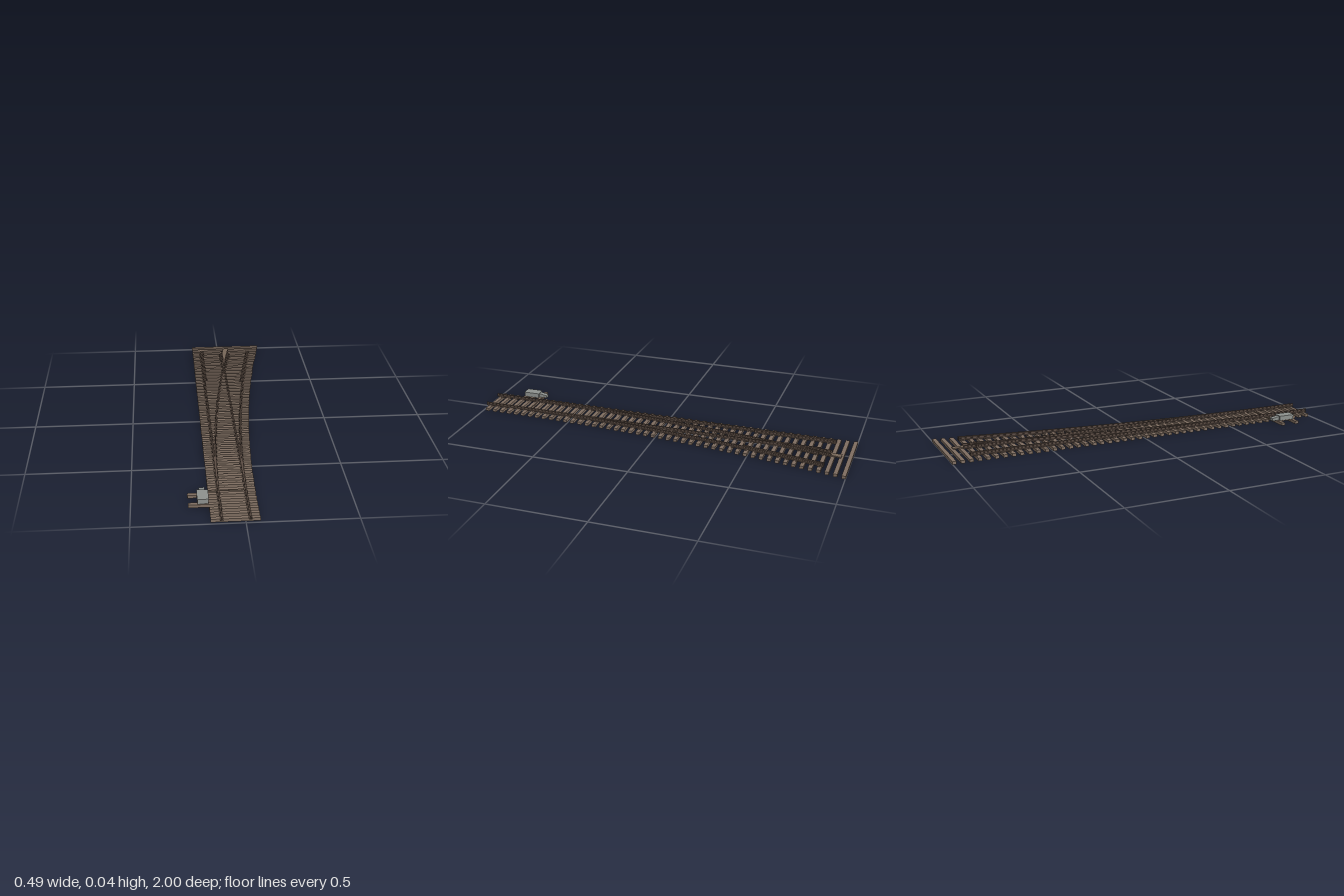
import * as THREE from 'three';

const mat = (name, color) => {
  const m = new THREE.MeshStandardMaterial({ color });
  m.name = name;
  return m;
};

export function createModel() {
  const group = new THREE.Group();
  const wood = mat('sleeper brown', 0x7e6d60);
  const steel = mat('rusty rail', 0x5a4b42);
  const plate = mat('frog brown', 0x776658);
  const grey = mat('motor grey', 0x8d918e);

  const add = (name, geometry, material, x = 0, y = 0, z = 0) => {
    const mesh = new THREE.Mesh(geometry, material);
    mesh.name = name;
    mesh.position.set(x, y, z);
    group.add(mesh);
    return mesh;
  };
  const box = (name, material, x0, x1, y0, y1, z0, z1) =>
    add(name, new THREE.BoxGeometry(x1 - x0, y1 - y0, z1 - z0), material,
      (x0 + x1) / 2, (y0 + y1) / 2, (z0 + z1) / 2);

  // Track lines: two straight rails and their diverging curve
  const LEFT = -0.1055, RIGHT = 0.02, TOP = 0.015;
  const bend = z => (z < 0.85 ? 0.0533 * (0.85 - z) ** 2 : 0);
  const straightLeft = () => LEFT;
  const straightRight = () => RIGHT;
  const curveLeft = z => LEFT + bend(z);
  const curveRight = z => RIGHT + bend(z);

  // Sleepers grow longer along the diverging side
  for (let i = 0; i < 48; i++) {
    const z = 0.976 - i * 0.04187;
    const x0 = i === 3 || i === 5 ? -0.246 : -0.153;
    box('sleeper', wood, x0, 0.065 + bend(z), 0, TOP, z - 0.0102, z + 0.0102);
    // Chairs under the two outer rails
    for (const x of [LEFT, curveRight(z)]) {
      if (z > -0.88) box('chair', steel, x - 0.009, x + 0.009, TOP, TOP + 0.0015, z - 0.006, z + 0.006);
    }
  }

  // Rail section: foot, web and head
  const half = [[0.0065, 0], [0.0065, 0.0015], [0.0017, 0.004], [0.0017, 0.0105], [0.0036, 0.012], [0.0036, 0.0165]];
  const section = new THREE.Shape([
    ...half.map(([x, y]) => new THREE.Vector2(x, y)),
    ...half.slice().reverse().map(([x, y]) => new THREE.Vector2(-x, y)),
  ]);
  // Sweep the section along z, shifting it sideways by a rule
  const rail = (name, z0, z1, xAt, steps = 24, drop = 0) => {
    const g = new THREE.ExtrudeGeometry(section, { depth: z1 - z0, steps, bevelEnabled: false });
    const p = g.attributes.position;
    for (let i = 0; i < p.count; i++) {
      const z = p.getZ(i) + z0;
      p.setXYZ(i, p.getX(i) + xAt(z), p.getY(i) + TOP - drop, z);
    }
    g.computeVertexNormals();
    add(name, g, steel);
  };

  // Stock rails
  rail('straightStockRail', -0.9, 1, straightLeft, 1);
  rail('curvedStockRail', -0.885, 1, curveRight, 48);

  // Switch blades and closure rails up to the frog
  rail('curvedClosureRail', -0.62, 0.78, curveLeft, 36, 0.0004);
  rail('straightClosureRail', -0.62, 1, straightRight, 1, 0.0004);

  // Wing rails bend away beside the frog point
  const knuckle = -0.62;
  rail('straightWingRail', -0.84, knuckle, z => {
    const t = Math.min(1, (knuckle - z) / 0.04);
    return THREE.MathUtils.lerp(curveLeft(knuckle), RIGHT - 0.0105, t) - Math.max(0, -0.8 - z) * 0.1;
  }, 11);
  rail('curvedWingRail', -0.84, knuckle, z => {
    const t = Math.min(1, (knuckle - z) / 0.06);
    return THREE.MathUtils.lerp(RIGHT, curveLeft(z) + 0.0105, t) + Math.max(0, -0.8 - z) * 0.1;
  }, 11);

  // Frog point rails and the plate beneath them
  rail('straightFrogRail', -0.9, -0.69, straightRight, 1);
  rail('curvedFrogRail', -0.9, -0.69, curveLeft, 8, 0.0004);
  const frog = new THREE.Shape([[0.014, 0.7], [0.026, 0.7], [0.063, 0.95], [0.029, 0.95]]
    .map(([x, z]) => new THREE.Vector2(x, z)));
  const frogGeometry = new THREE.ExtrudeGeometry(frog, { depth: 0.006, bevelEnabled: false });
  frogGeometry.rotateX(-Math.PI / 2);
  add('frogPlate', frogGeometry, plate, 0, TOP, 0);

  // Check rails with flared ends
  const flare = (z, z0, z1) => 0.07 * (Math.max(0, z0 + 0.05 - z) + Math.max(0, z - z1 + 0.05));
  rail('straightCheckRail', -0.9, -0.48, z => LEFT + 0.0105 + flare(z, -0.9, -0.48), 42);
  rail('curvedCheckRail', -0.885, -0.465, z => curveRight(z) - 0.0105 - flare(z, -0.885, -0.465), 42);

  // Switch motor on its base plate
  box('motorBase', wood, -0.204, -0.154, 0.012, 0.016, 0.76, 0.856);
  box('motorBody', grey, -0.203, -0.155, 0.016, 0.038, 0.772, 0.855);
  box('motorLid', grey, -0.205, -0.153, 0.038, 0.04, 0.77, 0.857);

  // Sloping motor arm, drawn from the side and turned to face along z
  const arm = new THREE.Shape([[-0.775, TOP], [-0.73, TOP], [-0.73, 0.028], [-0.775, 0.037]]
    .map(([z, y]) => new THREE.Vector2(z, y)));
  const armGeometry = new THREE.ExtrudeGeometry(arm, { depth: 0.026, bevelEnabled: false });
  armGeometry.rotateY(Math.PI / 2);
  add('motorArm', armGeometry, grey, -0.193, 0, 0);

  // Throw bar joining the blades
  box('throwBar', plate, -0.18, 0.02, TOP, 0.018, 0.738, 0.748);

  return group;
}
